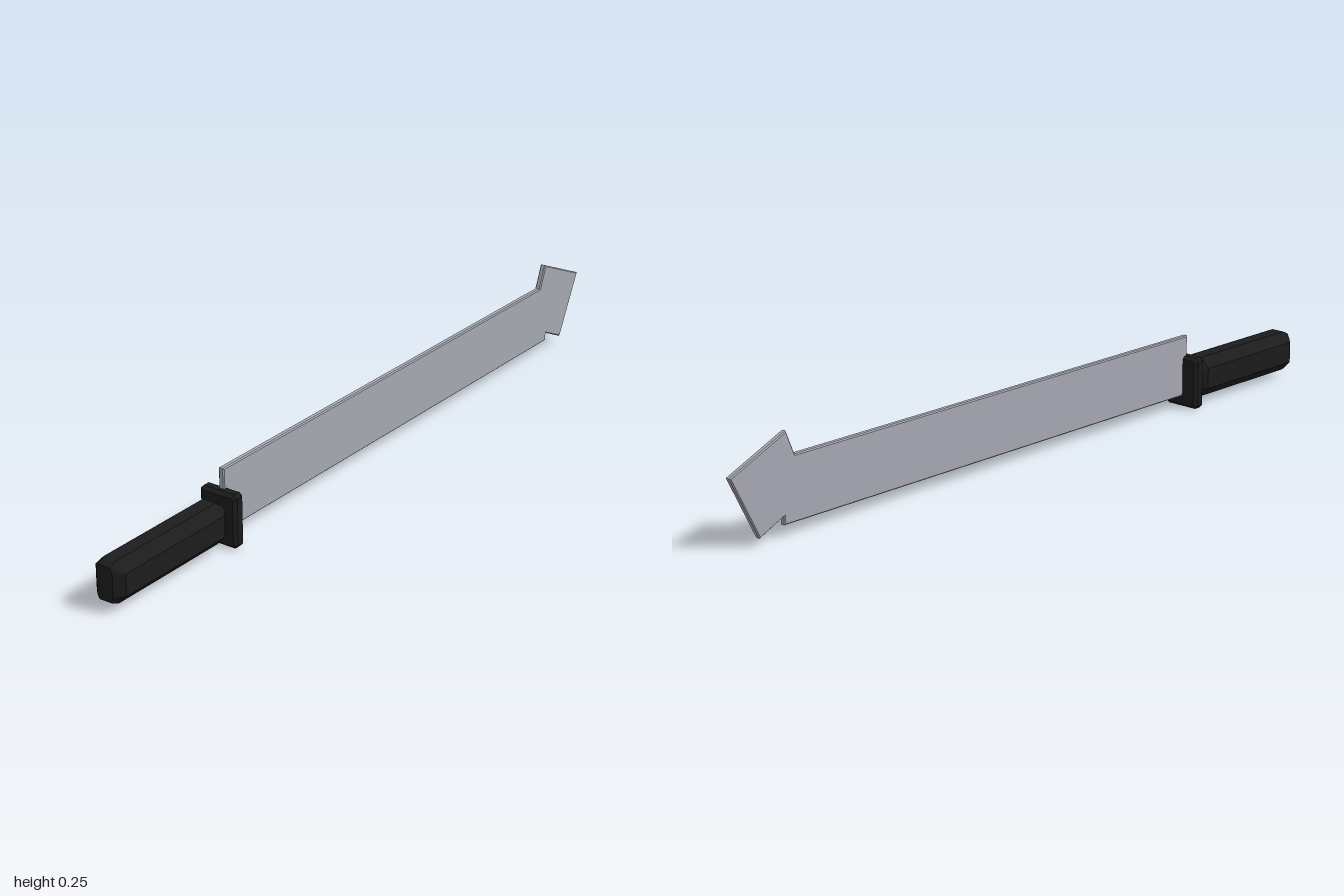
import * as THREE from 'three';

const black = new THREE.MeshStandardMaterial({ color: 0x1c1c1d, flatShading: true });
const steel = new THREE.MeshStandardMaterial({ color: 0xa6a8b2, flatShading: true });

// Rectangle with cut corners, given half sizes and cut lengths
function cutRect(w, h, cx, cy) {
  return [
    [w, -h + cy], [w, h - cy], [w - cx, h], [-w + cx, h],
    [-w, h - cy], [-w, -h + cy], [-w + cx, -h], [w - cx, -h],
  ];
}

// Joins octagonal rings { z, y, w, h, cx, cy }, listed from back to front, and caps both ends
function loft(rings) {
  const pos = [], index = [], n = 8;
  for (const r of rings) {
    for (const [x, y] of cutRect(r.w, r.h, r.cx, r.cy)) pos.push(x, y + r.y, r.z);
  }
  for (let i = 0; i < rings.length - 1; i++) {
    for (let j = 0; j < n; j++) {
      const a = i * n + j, b = i * n + (j + 1) % n;
      index.push(a, b, b + n, a, b + n, a + n);
    }
  }
  const last = (rings.length - 1) * n;
  for (let j = 1; j < n - 1; j++) {
    index.push(0, j + 1, j, last, last + j, last + j + 1);
  }
  const geo = new THREE.BufferGeometry();
  geo.setAttribute('position', new THREE.Float32BufferAttribute(pos, 3));
  geo.setIndex(index);
  const flat = geo.toNonIndexed();
  flat.computeVertexNormals();
  return flat;
}

function add(group, name, geometry, material) {
  const mesh = new THREE.Mesh(geometry, material);
  mesh.name = name;
  group.add(mesh);
}

export function createModel() {
  const model = new THREE.Group();
  model.name = 'machete';

  // Blade outline as (-z, y), with a hooked arrow-like tip and thin bevelled edges
  const outline = [
    [-0.58, 0.03], [0.842, 0.03], [0.842, 0.052], [0.917, 0.017],
    [1.0, 0.18], [0.83, 0.254], [0.805, 0.193], [-0.58, 0.193],
  ];
  const shape = new THREE.Shape(outline.map(([x, y]) => new THREE.Vector2(x, y)));
  const bevel = 0.003, half = 0.008;
  const blade = new THREE.ExtrudeGeometry(shape, {
    depth: 2 * (half - bevel), bevelEnabled: true, bevelSegments: 1,
    bevelSize: bevel, bevelThickness: bevel, bevelOffset: -bevel,
  });
  blade.translate(0, 0, -(half - bevel));
  blade.rotateY(Math.PI / 2);
  add(model, 'blade', blade, steel);

  // Guard: chamfered plate
  const outer = { y: 0.07, w: 0.054, h: 0.07, cx: 0.009, cy: 0.009 };
  const inner = { y: 0.07, w: 0.046, h: 0.062, cx: 0.004, cy: 0.004 };
  add(model, 'guard', loft([
    { z: 0.562, ...inner }, { z: 0.571, ...outer },
    { z: 0.589, ...outer }, { z: 0.598, ...inner },
  ]), black);

  // Grip: octagonal bar, narrowed at the guard and chamfered at the butt
  const body = { y: 0.072, w: 0.044, h: 0.054, cx: 0.025, cy: 0.026 };
  add(model, 'grip', loft([
    { z: 0.59, y: 0.072, w: 0.026, h: 0.036, cx: 0.013, cy: 0.014 },
    { z: 0.602, y: 0.072, w: 0.026, h: 0.036, cx: 0.013, cy: 0.014 },
    { z: 0.625, ...body },
    { z: 0.978, ...body },
    { z: 1.0, y: 0.072, w: 0.023, h: 0.044, cx: 0.006, cy: 0.012 },
  ]), black);

  return model;
}
